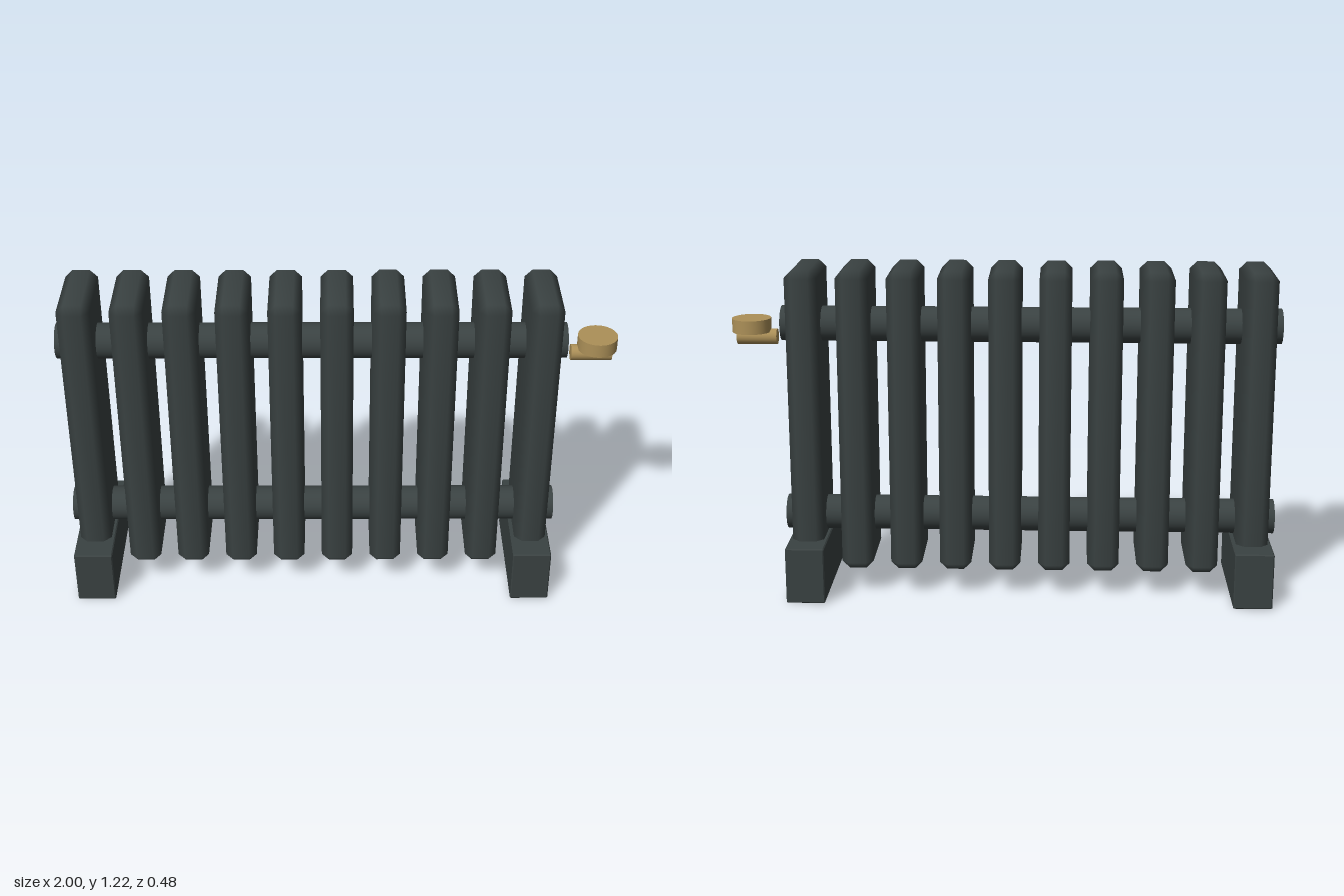
import * as THREE from 'three';
import { mergeVertices } from 'three/addons/utils/BufferGeometryUtils.js';
import { ConvexGeometry } from 'three/addons/geometries/ConvexGeometry.js';

// Box with every edge cut by a chamfer c; smooth normals soften the cuts
function chamferedBox(w, h, d, c, smooth) {
  const half = [w / 2, h / 2, d / 2];
  const points = [];
  for (const sx of [-1, 1]) for (const sy of [-1, 1]) for (const sz of [-1, 1]) {
    for (let axis = 0; axis < 3; axis++) {
      // the corner point that lies on the face of this axis
      const [x, y, z] = half.map((v, i) => (i === axis ? v : v - c));
      points.push(new THREE.Vector3(sx * x, sy * y, sz * z));
    }
  }
  let geometry = new ConvexGeometry(points);
  if (smooth) {
    geometry.deleteAttribute('normal');
    geometry = mergeVertices(geometry, 1e-4);
    geometry.computeVertexNormals();
  }
  return geometry;
}

export function createModel() {
  const model = new THREE.Group();
  model.name = 'radiator';
  const iron = new THREE.MeshStandardMaterial({ color: 0x3a4242 });
  const brass = new THREE.MeshStandardMaterial({ color: 0xac9058 });

  const add = (name, geometry, material, x, y, z = 0) => {
    const mesh = new THREE.Mesh(geometry, material);
    mesh.name = name;
    mesh.position.set(x, y, z);
    model.add(mesh);
    return mesh;
  };

  // Ten upright sections
  const count = 10, firstX = -0.911, lastX = 0.725;
  const sectionGeometry = chamferedBox(0.116, 1.116, 0.307, 0.027, true);
  for (let i = 0; i < count; i++) {
    const x = THREE.MathUtils.lerp(firstX, lastX, i / (count - 1));
    add('section' + (i + 1), sectionGeometry, iron, x, 0.658);
  }

  // Feet under the two end sections
  const footGeometry = chamferedBox(0.142, 0.21, 0.48, 0.004, false);
  add('rightFoot', footGeometry, iron, firstX, 0.105);
  add('leftFoot', footGeometry, iron, lastX, 0.105);

  // Lower and upper pipes running through all sections
  const pipeGeometry = new THREE.CylinderGeometry(0.064, 0.064, 1.816, 32).rotateZ(Math.PI / 2);
  add('lowerPipe', pipeGeometry, iron, -0.092, 0.278);
  add('upperPipe', pipeGeometry, iron, -0.092, 1.001);

  // Valve: short stem with a flat round knob
  const stemGeometry = new THREE.CylinderGeometry(0.029, 0.029, 0.146, 24).rotateZ(Math.PI / 2);
  add('valveStem', stemGeometry, brass, 0.908, 0.95);
  add('valveKnob', new THREE.CylinderGeometry(0.071, 0.071, 0.05, 32), brass, 0.928, 0.994);

  return model;
}
